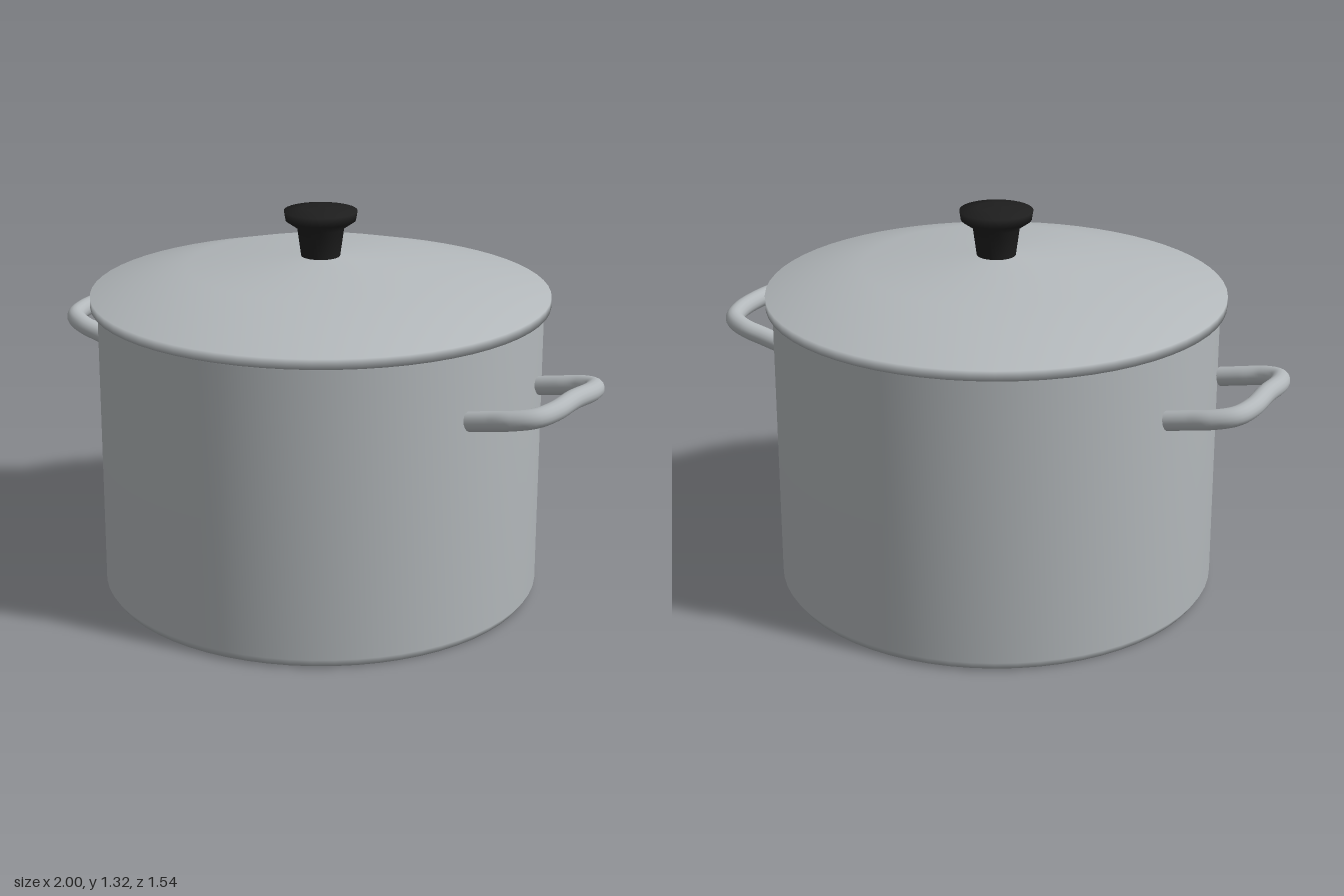
import * as THREE from 'three';

const steel = new THREE.MeshStandardMaterial({ color: 0xb3b8bb });
steel.name = 'steel';
const black = new THREE.MeshStandardMaterial({ color: 0x1e1e1e });
black.name = 'black plastic';

// Turned part from [radius, height] pairs, listed bottom to top along the outside
function turned(name, profile, segments, material) {
  const points = profile.map(([r, y]) => new THREE.Vector2(r, y));
  const mesh = new THREE.Mesh(new THREE.LatheGeometry(points, segments), material);
  mesh.name = name;
  return mesh;
}

// Bent rod handle on the +x side, with flat capped ends
function makeHandle(name) {
  const handle = new THREE.Group();
  handle.name = name;
  const radius = 0.032;
  const half = [
    [0.725, 0.778, 0.218], [0.8, 0.794, 0.218], [0.875, 0.81, 0.217],
    [0.94, 0.823, 0.187], [0.966, 0.831, 0.12],
  ];
  const path = [
    ...half,
    [0.968, 0.838, 0],
    ...half.map(([x, y, z]) => [x, y, -z]).reverse(),
  ].map((p) => new THREE.Vector3(...p));
  const curve = new THREE.CatmullRomCurve3(path);
  const rod = new THREE.Mesh(new THREE.TubeGeometry(curve, 64, radius, 16), steel);
  rod.name = 'handleRod';
  handle.add(rod);
  for (const t of [0, 1]) {
    const cap = new THREE.Mesh(new THREE.CircleGeometry(radius, 16), steel);
    cap.name = 'handleEnd';
    const outward = curve.getTangent(t).multiplyScalar(t === 0 ? -1 : 1);
    cap.quaternion.setFromUnitVectors(new THREE.Vector3(0, 0, 1), outward);
    cap.position.copy(curve.getPoint(t));
    handle.add(cap);
  }
  return handle;
}

export function createModel() {
  const model = new THREE.Group();
  model.name = 'stockPot';

  // Body with a bevelled foot
  model.add(turned('potBody', [[0, 0], [0.725, 0], [0.745, 0.03], [0.745, 0.99], [0.735, 1.0]], 64, steel));

  // Domed lid with an overhanging rim
  model.add(turned('lid', [[0, 1.0], [0.768, 1.0], [0.768, 1.033], [0.445, 1.12], [0, 1.158]], 64, steel));

  // Flared knob
  model.add(turned('knob', [
    [0.064, 1.145], [0.078, 1.247], [0.117, 1.274], [0.122, 1.305], [0.06, 1.315], [0, 1.318],
  ], 32, black));

  // Side handles
  const left = makeHandle('leftHandle');
  const right = makeHandle('rightHandle');
  right.rotation.y = Math.PI;
  model.add(left, right);

  return model;
}
